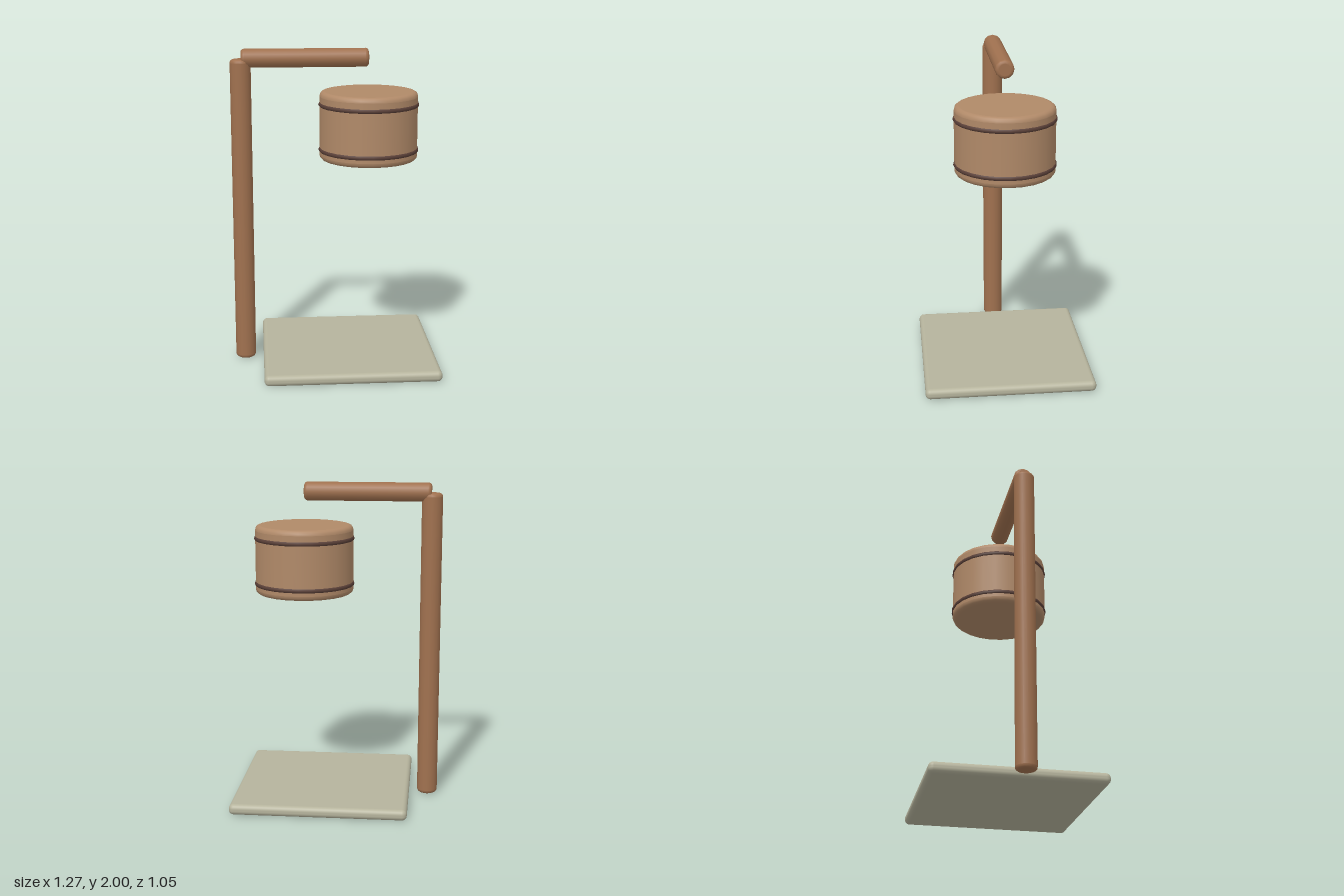
import * as THREE from 'three';
import { RoundedBoxGeometry } from 'three/addons/geometries/RoundedBoxGeometry.js';

const paint = (color) => new THREE.MeshStandardMaterial({ color });
const timber = paint(0xa0714f);
const drumWood = paint(0xb08968);
const darkBand = paint(0x5a4038);
const stone = paint(0xb5b39c);

// Upright cylinder with rounded rims, centred on its own middle
function roundedCylinder(radius, height, bevel, sides) {
  const h = height / 2;
  const eps = 0.001;
  const profile = [new THREE.Vector2(0, -h), new THREE.Vector2(radius - bevel - eps, -h)];
  const steps = 4;
  for (const end of [-1, 1]) {
    for (let i = 0; i <= steps; i++) {
      const a = (end < 0 ? i - steps : i) / steps * Math.PI / 2;
      profile.push(new THREE.Vector2(
        radius - bevel + bevel * Math.cos(a),
        end * (h - bevel) + bevel * Math.sin(a)));
    }
    // Extra loops keep the wall straight
    if (end < 0) {
      profile.push(new THREE.Vector2(radius, -h + bevel + eps));
      profile.push(new THREE.Vector2(radius, h - bevel - eps));
    }
  }
  profile.push(new THREE.Vector2(radius - bevel - eps, h), new THREE.Vector2(0, h));
  return new THREE.LatheGeometry(profile, sides);
}

export function createModel() {
  const model = new THREE.Group();
  model.name = 'hangingDrumStand';

  function add(name, geometry, material, x, y, z = 0) {
    const mesh = new THREE.Mesh(geometry, material);
    mesh.name = name;
    mesh.position.set(x, y, z);
    model.add(mesh);
    return mesh;
  }

  // Ground slab
  add('baseSlab', new RoundedBoxGeometry(1.096, 0.068, 1.054, 4, 0.03), stone, 0.088, 0.036);

  // Upright post and horizontal arm
  add('post', roundedCylinder(0.064, 1.934, 0.022, 16), timber, -0.574, 0.971);
  const arm = add('arm', roundedCylinder(0.058, 0.785, 0.02, 12), timber, -0.178, 1.942);
  arm.rotation.z = Math.PI / 2;

  // Drum below the free end of the arm
  const drumX = 0.217;
  add('drum', roundedCylinder(0.307, 0.428, 0.03, 24), drumWood, drumX, 1.52);

  // Two dark bands around the drum
  for (const [name, y] of [['upperBand', 1.654], ['lowerBand', 1.37]]) {
    const band = add(name, new THREE.TorusGeometry(0.298, 0.016, 8, 24), darkBand, drumX, y);
    band.rotation.x = Math.PI / 2;
  }
  return model;
}
